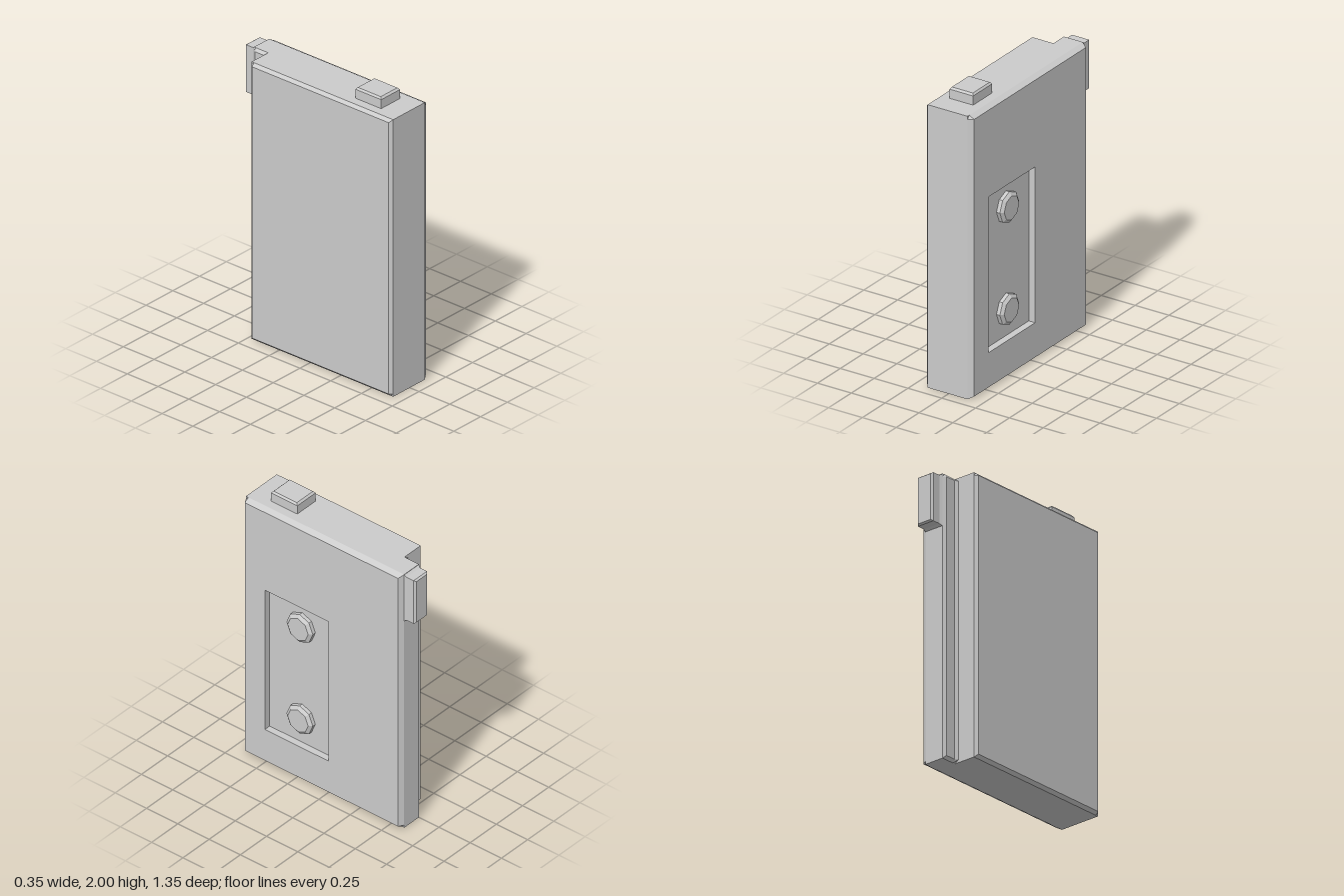
import * as THREE from 'three';
import { mergeGeometries } from 'three/addons/utils/BufferGeometryUtils.js';

const material = new THREE.MeshStandardMaterial({ color: 0xcccccc, flatShading: true });

function part(name, geometry) {
  const mesh = new THREE.Mesh(geometry, material);
  mesh.name = name;
  return mesh;
}

// Corner order: counter-clockwise seen from outside
function quads(list) {
  const positions = [];
  for (const [a, b, c, d] of list) positions.push(...a, ...b, ...c, ...a, ...c, ...d);
  const g = new THREE.BufferGeometry();
  g.setAttribute('position', new THREE.Float32BufferAttribute(positions, 3));
  g.computeVertexNormals();
  return g;
}

function flat(points, holes = []) {
  const toVec = ([x, y]) => new THREE.Vector2(x, y);
  const shape = new THREE.Shape(points.map(toVec));
  holes.forEach((h) => shape.holes.push(new THREE.Path(h.map(toVec))));
  const g = new THREE.ShapeGeometry(shape).toNonIndexed();
  g.deleteAttribute('uv');
  return g;
}

// Joins sections [y, [[x, z], ...]] from bottom to top; skip(level, side) leaves a wall open
function loft(sections, skip = () => false) {
  const walls = [];
  for (let i = 0; i < sections.length - 1; i++) {
    const [y0, low] = sections[i];
    const [y1, high] = sections[i + 1];
    low.forEach((p, j) => {
      if (skip(i, j)) return;
      const k = (j + 1) % low.length;
      walls.push([
        [p[0], y0, p[1]], [low[k][0], y0, low[k][1]],
        [high[k][0], y1, high[k][1]], [high[j][0], y1, high[j][1]],
      ]);
    });
  }
  const [yb, bottom] = sections[0];
  const [yt, top] = sections[sections.length - 1];
  return mergeGeometries([
    quads(walls),
    flat(bottom).rotateX(Math.PI / 2).translate(0, yb, 0),
    flat(top.map(([x, z]) => [x, -z])).rotateX(-Math.PI / 2).translate(0, yt, 0),
  ]);
}

const rect = (x0, x1, z0, z1) => [[x1, z1], [x1, z0], [x0, z0], [x0, z1]];

export function createModel() {
  const group = new THREE.Group();

  // Body: stepped plan with bevelled corners; the ends draw in along x
  const plan = [
    [0.14, 0.675], [0.175, 0.655], [0.175, -0.57], [0.14, -0.59],
    [0, -0.59], [-0.015, -0.57], [-0.015, -0.495], [-0.03, -0.475],
    [-0.155, -0.475], [-0.175, -0.455], [-0.175, 0.655], [-0.155, 0.675],
  ];
  const endX = [0.14, 0.14, 0.14, 0.14, 0, 0, 0, 0, -0.155, -0.155, -0.155, -0.155];
  const end = plan.map(([, z], i) => [endX[i], z]);
  group.add(part('body', loft(
    [[0, end], [0.02, plan], [1.905, plan], [1.925, end]],
    (level, side) => level === 1 && side === 1,
  )));

  // Left side face with the rectangular opening
  const z0 = -0.015, z1 = 0.495, y0 = 0.255, y1 = 1.315, outer = 0.175, inner = 0.128;
  const face = flat(
    [[-0.655, 0.02], [0.57, 0.02], [0.57, 1.905], [-0.655, 1.905]],
    [[[-z1, y0], [-z1, y1], [-z0, y1], [-z0, y0]]],
  );
  group.add(part('sideFace', face.rotateY(Math.PI / 2).translate(outer, 0, 0)));

  // Recess walls and floor
  const corners = [[y0, z1], [y0, z0], [y1, z0], [y1, z1]];
  const at = (x, i) => [x, ...corners[i % 4]];
  const recess = [[0, 1, 2, 3].map((i) => at(inner, i))];
  for (let i = 0; i < 4; i++) {
    recess.push([at(outer, i), at(outer, i + 1), at(inner, i + 1), at(inner, i)]);
  }
  group.add(part('recess', quads(recess)));

  // Eight-sided bolts in the recess
  const boltProfile = [[0.105, 0], [0.105, 0.025], [0.082, 0.042], [0, 0.042]]
    .map(([r, h]) => new THREE.Vector2(r, h));
  for (const y of [0.44, 1.135]) {
    const bolt = part('bolt', new THREE.LatheGeometry(boltProfile, 8).rotateZ(-Math.PI / 2));
    bolt.position.set(inner, y, 0.235);
    group.add(bolt);
  }

  // Bevelled block on top
  group.add(part('topButton', loft([
    [1.925, rect(-0.095, 0.08, 0.315, 0.525)],
    [1.987, rect(-0.095, 0.08, 0.315, 0.525)],
    [2, rect(-0.085, 0.07, 0.327, 0.513)],
  ])));

  // Catch on the back edge, with a flared root (built upright, then turned to point back)
  group.add(part('rearCatch', loft([
    [0.59, rect(0, 0.14, 1.572, 1.922)],
    [0.608, rect(0.01, 0.138, 1.583, 1.911)],
    [0.663, rect(0.01, 0.138, 1.583, 1.911)],
    [0.675, rect(0.022, 0.126, 1.592, 1.902)],
  ]).rotateX(-Math.PI / 2)));

  return group;
}
